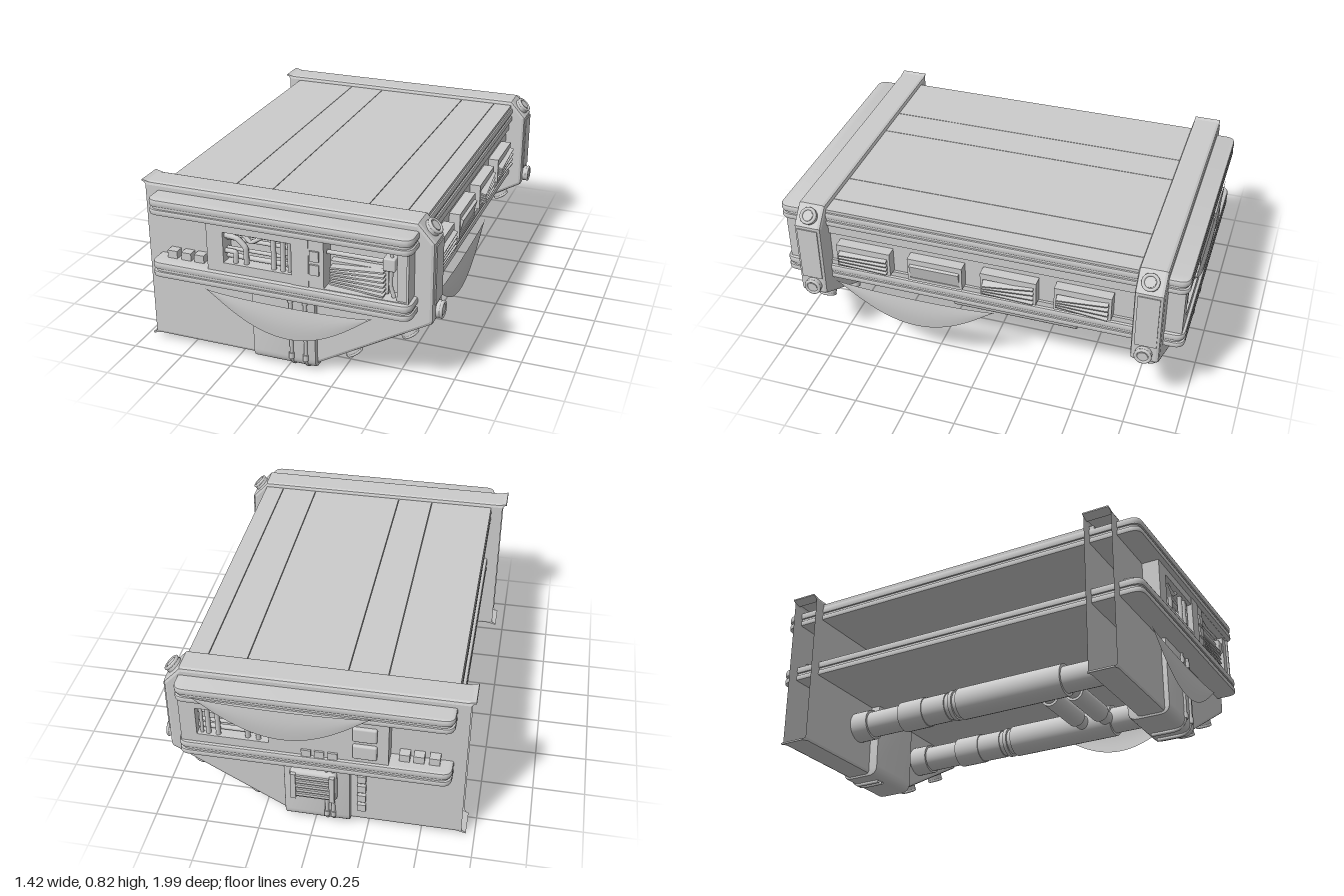
import * as THREE from 'three';
import { toCreasedNormals } from 'three/addons/utils/BufferGeometryUtils.js';
import { RoundedBoxGeometry } from 'three/addons/geometries/RoundedBoxGeometry.js';
import { ParametricGeometry } from 'three/addons/geometries/ParametricGeometry.js';

const mat = new THREE.MeshStandardMaterial({ color: 0xcccccc, side: THREE.DoubleSide });
const V = (x, y, z) => new THREE.Vector3(x, y, z);

export function createModel() {
  const root = new THREE.Group();
  root.name = 'machineModule';

  const add = (name, geo, x = 0, y = 0, z = 0) => {
    const m = new THREE.Mesh(geo, mat);
    m.name = name;
    m.position.set(x, y, z);
    root.add(m);
    return m;
  };
  // box given by its limits on each axis
  const box = (name, x0, x1, y0, y1, z0, z1) => add(name,
    new THREE.BoxGeometry(x1 - x0, y1 - y0, Math.abs(z1 - z0)), (x0 + x1) / 2, (y0 + y1) / 2, (z0 + z1) / 2);
  const rbox = (name, x0, x1, y0, y1, z0, z1, r) => add(name,
    new RoundedBoxGeometry(x1 - x0, y1 - y0, Math.abs(z1 - z0), 3, r), (x0 + x1) / 2, (y0 + y1) / 2, (z0 + z1) / 2);
  // cylinder between two points
  const rod = (name, a, b, r, sides = 20) => {
    const m = add(name, new THREE.CylinderGeometry(r, r, a.distanceTo(b), sides));
    m.position.copy(a).add(b).multiplyScalar(0.5);
    m.quaternion.setFromUnitVectors(V(0, 1, 0), b.clone().sub(a).normalize());
    return m;
  };
  const pipe = (name, pts, r) => add(name,
    new THREE.TubeGeometry(new THREE.CatmullRomCurve3(pts, false, 'catmullrom', 0.2), 24, r, 8));
  const rect = (P, x0, x1, y0, y1) => {
    const p = new P();
    p.moveTo(x0, y0); p.lineTo(x1, y0); p.lineTo(x1, y1); p.lineTo(x0, y1); p.closePath();
    return p;
  };
  // extrusion filling 0..depth, with an inward bevel
  const extrude = (shape, depth, bevel = 0) => new THREE.ExtrudeGeometry(shape, {
    depth: depth - 2 * bevel, bevelEnabled: bevel > 0, bevelThickness: bevel, bevelSize: bevel,
    bevelOffset: -bevel, bevelSegments: 2, curveSegments: 6 }).translate(0, 0, bevel);

  // Horizontal slab with rounded corners in plan
  const slab = (name, y0, y1, inset, bevel) => {
    const a = 0.622 - inset, b = 0.987 - inset, r = 0.05, s = new THREE.Shape();
    s.moveTo(-a + r, -b); s.lineTo(a - r, -b); s.quadraticCurveTo(a, -b, a, -b + r);
    s.lineTo(a, b - r); s.quadraticCurveTo(a, b, a - r, b);
    s.lineTo(-a + r, b); s.quadraticCurveTo(-a, b, -a, b - r);
    s.lineTo(-a, -b + r); s.quadraticCurveTo(-a, -b, -a + r, -b);
    const g = extrude(s, y1 - y0, bevel).rotateX(-Math.PI / 2);
    add(name, toCreasedNormals(g, 0.7), -0.01, y0, 0.012);
  };
  for (const [name, y] of [['upperRail', 0.71], ['lowerRail', 0.4]]) {
    slab(name, y, y + 0.028, 0, 0.006);
    slab(name + 'Groove', y + 0.024, y + 0.042, 0.008, 0);
    slab(name, y + 0.038, y + 0.075, 0, 0.01);
  }
  // Roof panels separated by narrow seams
  const seams = [-0.63, -0.31, -0.13, 0.33, 0.51, 0.605];
  for (let i = 0; i < 5; i++) box('roofPanel', seams[i] + 0.0015, seams[i + 1] - 0.0015, 0.775, 0.799, -0.77, 0.78);

  // Side wall with four framed vents
  box('sideWall', 0.54, 0.585, 0.46, 0.72, -0.95, 0.965);
  box('sideWallLedge', 0.55, 0.598, 0.46, 0.5, -0.77, 0.78);
  box('sideWallLedge', 0.55, 0.598, 0.66, 0.72, -0.77, 0.78);
  [0.57, 0.21, -0.15, -0.505].forEach((z, i) => {
    const s = rect(THREE.Shape, -0.135, 0.135, -0.062, 0.062);
    s.holes.push(rect(THREE.Path, -0.122, 0.122, -0.046, 0.03));
    add('ventFrame', extrude(s, 0.055).rotateY(Math.PI / 2), 0.582, 0.567, z);
    if (i === 1) { // closed shutter
      box('ventShutter', 0.612, 0.642, 0.515, 0.602, z - 0.122, z + 0.122).rotation.z = -0.25;
      return;
    }
    for (let k = 0; k < 4; k++) {
      const slat = box('ventSlat', 0.595, 0.658, 0.53 + k * 0.02, 0.538 + k * 0.02, z - 0.122, z + 0.122);
      slat.rotation.set((k - 1.5) * 0.06 * (i === 0 ? 0.4 : 1), i === 2 ? 0.06 : 0, -0.3);
    }
  });

  // End frame: bevelled plate shell, open on its flat end
  const outline = [[-0.705, 0.03], [-0.17, 0.03], [0.14, 0.035], [0.675, 0.345], [0.682, 0.36],
    [0.682, 0.735], [0.605, 0.82], [-0.705, 0.82]].map(p => new THREE.Vector2(...p));
  const frameGeometry = () => {
    const g = extrude(new THREE.Shape(outline), 0.136, 0.016), p = g.attributes.position, keep = [];
    for (let i = 0; i < p.count; i += 3) {
      if ([0, 1, 2].some(k => p.getX(i + k) > -0.68))
        for (let k = 0; k < 3; k++) keep.push(p.getX(i + k), p.getY(i + k), p.getZ(i + k));
    }
    const out = new THREE.BufferGeometry();
    out.setAttribute('position', new THREE.Float32BufferAttribute(keep, 3));
    out.computeVertexNormals();
    return out;
  };

  // Foot block: U-shaped section with rounded lower corners
  const footGeometry = () => {
    const w = 0.105, r = 0.05, s = new THREE.Shape();
    s.moveTo(-w, 0.41); s.lineTo(-w, 0.018 + r); s.quadraticCurveTo(-w, 0.018, -w + r, 0.018);
    s.lineTo(w - r, 0.018); s.quadraticCurveTo(w, 0.018, w, 0.018 + r); s.lineTo(w, 0.41);
    return toCreasedNormals(extrude(s, 0.31, 0.008).rotateY(Math.PI / 2), 0.6);
  };

  // Bolt with a raised ring, pointing along angle a in the frame plane
  const bolt = (x, y, z, a) => {
    const d = V(Math.cos(a), Math.sin(a), 0), at = t => V(x, y, z).addScaledVector(d, t);
    rod('boltBody', at(-0.03), at(0.022), 0.04);
    rod('boltHead', at(0.016), at(0.026), 0.024);
    const ring = add('boltRing', new THREE.TorusGeometry(0.034, 0.008, 8, 24));
    ring.position.copy(at(0.021));
    ring.quaternion.setFromUnitVectors(V(0, 0, 1), d);
  };

  for (const s of [1, -1]) {
    const Z = v => s * v + 0.006; // distance outward from the middle
    const zb = (name, x0, x1, y0, y1, a, b) => box(name, x0, x1, y0, y1, Z(a), Z(b));
    add('endFrame', frameGeometry(), 0, 0, Z(0.819) - 0.068);
    // lips at the open end
    for (const [y, t] of [[0.815, 0.25], [0.034, -0.25]]) {
      zb('frameLip', -0.71, -0.66, y - 0.004, y + 0.004, 0.755, 0.883).rotation.z = -t;
    }
    zb('frameSideCap', 0.66, 0.687, 0.44, 0.72, 0.768, 0.87);
    bolt(0.645, 0.775, Z(0.815), 0.78);
    bolt(0.683, 0.395, Z(0.815), 0);
    bolt(0.55, 0.263, Z(0.815), -1.05);
    bolt(0.285, 0.112, Z(0.815), -1.05);

    // foot block and the pipes wrapping round it
    add('foot', footGeometry(), -0.168, 0, Z(0.807));
    for (const x of s > 0 ? [0.025, 0.095] : [-0.09, -0.06]) {
      pipe('footPipe', [V(x, 0.41, Z(0.914)), V(x, 0.2, Z(0.914)), V(x, 0.06, Z(0.912)),
        V(x, 0.02, Z(0.885)), V(x, 0.012, Z(0.85)), V(x, 0.012, Z(0.74))], 0.009);
      for (const y of [0.06, 0.35]) rod('pipeCollar', V(x, y, Z(0.914)), V(x, y + 0.03, Z(0.914)), 0.013, 12);
    }

    // End panel with recesses between the rails
    const c = s > 0 ? -0.27 : 0.19;
    const panel = rect(THREE.Shape, -0.35, 0.595, 0.46, 0.72);
    panel.holes.push(rect(THREE.Path, c, c + 0.33, 0.52, 0.67));
    if (s > 0) panel.holes.push(rect(THREE.Path, 0.21, 0.585, 0.478, 0.708));
    add('endPanel', extrude(panel, 0.09), 0, 0, s > 0 ? 0.885 : -0.96);
    // pipes inside the recess
    for (const [x, r] of [[0.235, 0.012], [0.28, 0.012], [0.31, 0.008]])
      rod('recessPipe', V(c + x, 0.51, Z(0.945)), V(c + x, 0.68, Z(0.945)), r, 12);
    for (const [y, r] of [[0.54, 0.012], [0.575, 0.009], [0.625, 0.01], [0.65, 0.007]])
      rod('recessPipe', V(c - 0.01, y, Z(0.92)), V(c + 0.34, y, Z(0.92)), r, 12);
    pipe('bentPipe', [V(c, 0.645, Z(0.94)), V(c + 0.06, 0.64, Z(0.945)), V(c + 0.1, 0.6, Z(0.945)), V(c + 0.1, 0.515, Z(0.94))], 0.013);
    pipe('bentPipe', [V(c + 0.05, 0.515, Z(0.945)), V(c + 0.05, 0.57, Z(0.945)), V(c, 0.57, Z(0.94))], 0.012);
    pipe('bentPipe', [V(c + 0.08, 0.67, Z(0.94)), V(c + 0.13, 0.635, Z(0.95)), V(c + 0.19, 0.67, Z(0.94))], 0.01);
    // button blocks on the lower rail
    for (const x of [-0.55, -0.48, -0.415]) zb('buttonBlock', x - 0.024, x + 0.024, 0.465, 0.512, 0.87, 0.93);

    if (s > 0) {
      // louvred box, connector and pipes in the side recess
      zb('panelPillar', 0.06, 0.14, 0.47, 0.71, 0.96, 0.973);
      for (const y of [0.54, 0.605]) zb('panelButton', 0.147, 0.19, y, y + 0.05, 0.96, 0.978);
      zb('louvreBox', 0.225, 0.49, 0.485, 0.6, 0.88, 0.925);
      for (let k = 0; k < 6; k++)
        zb('louvreSlat', 0.235, 0.48, 0.492 + k * 0.019, 0.5 + k * 0.019, 0.92, 0.965).rotation.z = (k - 2.5) * 0.03;
      rbox('connectorBox', 0.475, 0.53, 0.61, 0.67, 0.88, 0.965, 0.006);
      rod('recessPipe', V(0.215, 0.645, 0.94), V(0.48, 0.645, 0.94), 0.01, 12);
      pipe('recessCable', [V(0.31, 0.705, 0.94), V(0.36, 0.69, 0.94), V(0.5, 0.695, 0.94), V(0.51, 0.66, 0.94)], 0.007);
      pipe('recessCable', [V(0.505, 0.62, 0.94), V(0.505, 0.53, 0.94), V(0.52, 0.48, 0.94)], 0.01);
    } else {
      // panel squares, block rows and a ribbed control box
      for (const y of [0.5, 0.6]) rbox('panelSquare', -0.3, -0.19, y, y + 0.08, -0.975, -0.95, 0.01);
      for (const x of [-0.1, -0.04, 0.02]) zb('buttonBlock', x - 0.022, x + 0.022, 0.465, 0.51, 0.95, 0.975);
      for (let k = 0; k < 5; k++) zb('frameStud', -0.24, -0.2, 0.1 + k * 0.06, 0.14 + k * 0.06, 0.87, 0.905);
      rbox('controlBox', -0.11, 0.11, 0.17, 0.34, -0.935, -0.89, 0.02);
      for (let k = 0; k < 5; k++) zb('controlRib', -0.08, 0.08, 0.195 + k * 0.027, 0.21 + k * 0.027, 0.935, 0.95);
      for (const x of [-0.09, 0.09]) zb('controlBracket', x - 0.012, x + 0.012, 0.18, 0.33, 0.935, 0.955);
    }
  }

  // Long pipes under the floor, with stepped collars
  for (const x of [0.28, -0.27]) {
    rod('underPipe', V(x, 0.247, -0.78), V(x, 0.247, 0.78), 0.066, 28);
    for (const [a, b, r] of [[0.68, 0.78, 0.077], [-0.12, 0.45, 0.08], [-0.165, -0.145, 0.077],
      [-0.46, -0.32, 0.077], [-0.78, -0.65, 0.077], [-0.32, -0.19, 0.072]])
      rod('pipeSleeve', V(x, 0.247, a), V(x, 0.247, b), r, 28);
  }
  rod('thinPipe', V(0.52, 0.355, -0.78), V(0.52, 0.355, 0.78), 0.026);
  rod('thinPipeSleeve', V(0.52, 0.355, -0.46), V(0.52, 0.355, 0.15), 0.036);
  for (const z of [0.3, 0.43]) {
    rod('crossPipe', V(0.28, 0.24, z), V(-0.27, 0.24, z), 0.036);
    rod('crossPipeSleeve', V(0.14, 0.24, z), V(-0.15, 0.24, z), 0.048);
  }

  // Hanging cloths: two pinned corners, sagging top and curved lower edge
  const cloth = (name, a, b, drop, out) => add(name, new ParametricGeometry((u, v, t) => {
    const arc = 4 * u * (1 - u);
    t.lerpVectors(a, b, u);
    t.y -= Math.pow(arc, 0.6) * 0.022 * (1 - v) + Math.pow(arc, 1.15) * v * drop;
    t.addScaledVector(out, 0.006 * Math.sin(Math.PI * v) * arc);
  }, 28, 6));
  cloth('frontCloth', V(-0.39, 0.35, 0.94), V(0.42, 0.35, 0.94), 0.185, V(0, 0, 1));
  cloth('backCloth', V(0.53, 0.755, -0.985), V(-0.28, 0.755, -0.985), 0.185, V(0, 0, -1));
  cloth('sideCloth', V(0.65, 0.42, 0.72), V(0.65, 0.42, -0.09), 0.185, V(1, 0, 0));
  return root;
}
